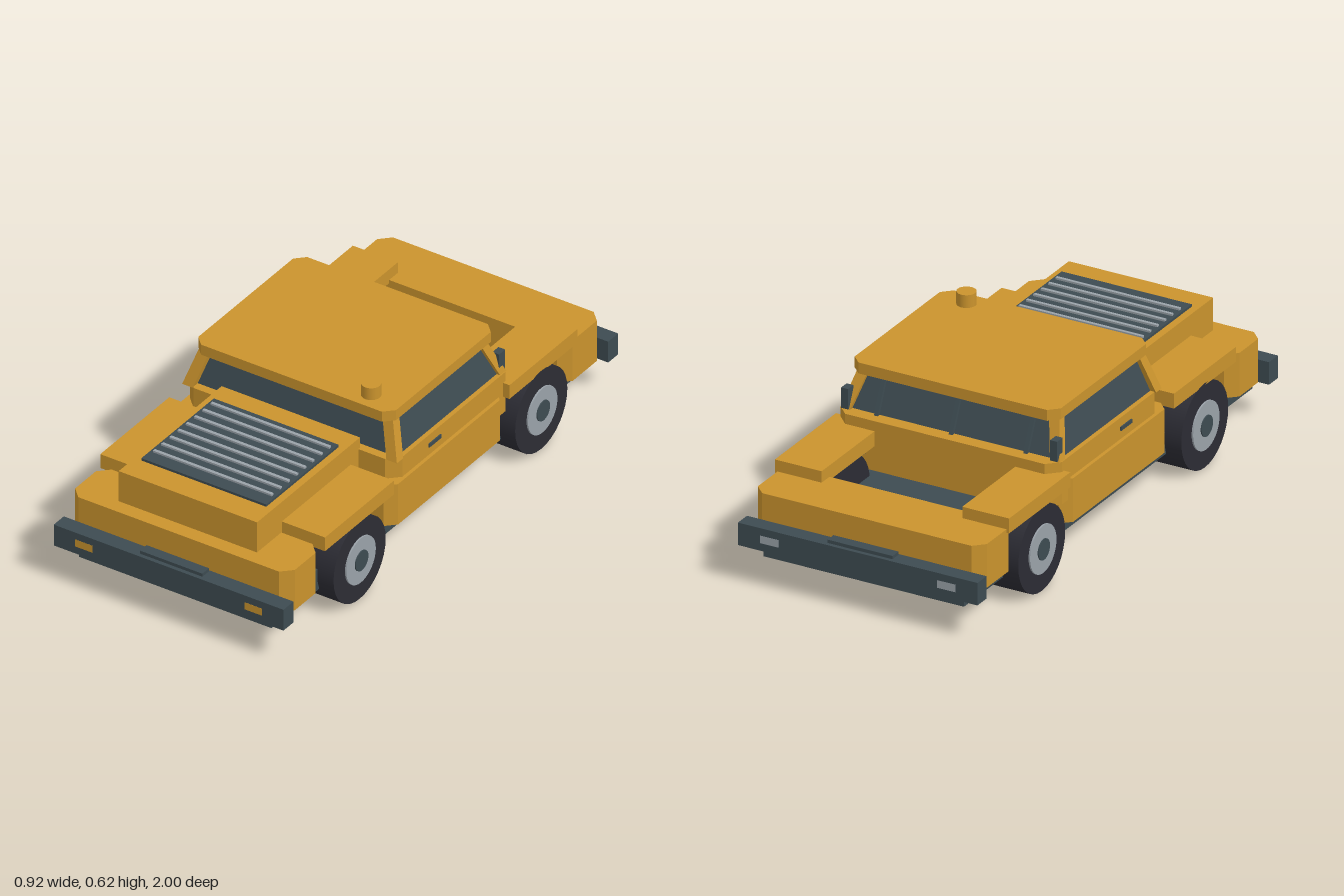
import * as THREE from 'three';

const mat = (name, color, side = THREE.FrontSide) => {
  const m = new THREE.MeshStandardMaterial({ color, side });
  m.name = name;
  return m;
};

export function createModel() {
  const paint = mat('amber paint', 0xca932d);
  const slate = mat('slate trim', 0x3d4b51);
  const rubber = mat('tyre rubber', 0x2c2c34);
  const metal = mat('pale metal', 0x9aa2a9);
  const model = new THREE.Group();
  model.name = 'pickupTruck';

  const add = (name, geometry, material, parent = model) => {
    const mesh = new THREE.Mesh(geometry, material);
    mesh.name = name;
    parent.add(mesh);
    return mesh;
  };

  // Box given by its lower and upper limits on each axis
  const box = (name, [x0, x1], [y0, y1], [z0, z1], material) => {
    const mesh = add(name, new THREE.BoxGeometry(x1 - x0, y1 - y0, z1 - z0), material);
    mesh.position.set((x0 + x1) / 2, (y0 + y1) / 2, (z0 + z1) / 2);
    return mesh;
  };

  // Upright block with its four vertical corners cut off
  const chamferBlock = (name, w, [y0, y1], [z0, z1], c, material) => {
    const d = (z1 - z0) / 2;
    const outline = [[-w + c, -d], [w - c, -d], [w, -d + c], [w, d - c],
      [w - c, d], [-w + c, d], [-w, d - c], [-w, -d + c]];
    const shape = new THREE.Shape(outline.map(([x, y]) => new THREE.Vector2(x, y)));
    const geo = new THREE.ExtrudeGeometry(shape, { depth: y1 - y0, bevelEnabled: false });
    geo.rotateX(-Math.PI / 2);
    geo.translate(0, y0, (z0 + z1) / 2);
    return add(name, geo, material);
  };

  // Slanted box between a lower and an upper rectangle [x0, x1, z0, z1]
  const slanted = (name, y0, low, y1, high, material) => {
    const geo = new THREE.BoxGeometry(1, 1, 1);
    const p = geo.attributes.position;
    for (let i = 0; i < p.count; i++) {
      const r = p.getY(i) > 0 ? high : low;
      p.setXYZ(i, p.getX(i) < 0 ? r[0] : r[1], p.getY(i) > 0 ? y1 : y0, p.getZ(i) < 0 ? r[2] : r[3]);
    }
    geo.computeVertexNormals();
    return add(name, geo, material);
  };

  // Chassis and bumpers
  box('chassis', [-0.385, 0.385], [0.097, 0.18], [-0.96, 0.96], slate);
  for (const s of [1, -1]) {
    const end = s > 0 ? 'front' : 'rear';
    const span = (a, b) => (s > 0 ? [a, b] : [-b, -a]);
    box(end + 'Bumper', [-0.46, 0.46], [0.137, 0.22], span(0.94, 1), slate);
    box(end + 'BumperStep', [-0.125, 0.125], [0.2, 0.232], span(0.945, 0.985), slate);
    for (const x of [-0.34, 0.34]) {
      box(end + 'Lamp', [x - 0.035, x + 0.035], [0.165, 0.193], span(0.995, 1.0005), s > 0 ? paint : metal);
    }
  }

  // Body blocks
  chamferBlock('noseBlock', 0.44, [0.157, 0.318], [0.74, 0.94], 0.038, paint);
  chamferBlock('tailBlock', 0.44, [0.157, 0.318], [-0.94, -0.72], 0.038, paint);
  chamferBlock('doorBody', 0.438, [0.157, 0.318], [-0.36, 0.318], 0.035, paint);
  chamferBlock('cabinWaist', 0.425, [0.24, 0.397], [-0.42, 0.28], 0.042, paint);
  box('engineCover', [-0.277, 0.277], [0.27, 0.438], [0.27, 0.885], paint);

  // Fenders with dark liners, and door handles
  for (const s of [1, -1]) {
    const span = (a, b) => (s > 0 ? [a, b] : [-b, -a]);
    box('frontFender', span(0.27, 0.45), [0.305, 0.36], [0.325, 0.737], paint);
    box('frontFenderLiner', span(0.28, 0.435), [0.295, 0.305], [0.345, 0.717], slate);
    box('rearFender', span(0.27, 0.45), [0.305, 0.36], [-0.772, -0.365], paint);
    box('rearFenderLiner', span(0.28, 0.435), [0.295, 0.305], [-0.75, -0.385], slate);
    box('doorHandle', span(0.42, 0.43), [0.35, 0.364], [0.01, 0.082], slate);
  }

  // Engine grille with slats
  box('grille', [-0.25, 0.25], [0.43, 0.447], [0.357, 0.79], slate);
  for (let i = 0; i < 8; i++) {
    const z = 0.39 + i * 0.049;
    box('grilleSlat', [-0.238, 0.238], [0.44, 0.454], [z - 0.006, z + 0.006], metal);
  }

  // Glasshouse, pillars, rear window bars and corner lamps
  slanted('windows', 0.39, [-0.41, 0.41, -0.372, 0.25], 0.535, [-0.37, 0.37, -0.31, 0.21], slate);
  for (const s of [1, -1]) {
    const rect = (x0, x1, z0, z1) => (s > 0 ? [x0, x1, z0, z1] : [-x1, -x0, z0, z1]);
    slanted('frontPillar', 0.395, rect(0.388, 0.43, 0.24, 0.278), 0.535, rect(0.345, 0.387, 0.2, 0.238), paint);
    slanted('rearPillar', 0.395, rect(0.385, 0.422, -0.388, -0.352), 0.535, rect(0.345, 0.385, -0.325, -0.29), paint);
    const [x0, x1] = rect(0.388, 0.415);
    box('cornerLamp', [x0, x1], [0.4, 0.475], [-0.392, -0.355], slate);
  }
  for (const x of [-0.287, 0, 0.287]) {
    slanted('rearWindowBar', 0.395, [x - 0.007, x + 0.007, -0.384, -0.36], 0.535,
      [x - 0.007, x + 0.007, -0.32, -0.3], slate);
  }

  // Roof and beacon
  chamferBlock('roof', 0.396, [0.53, 0.57], [-0.368, 0.266], 0.034, paint);
  const beacon = add('roofBeacon', new THREE.CylinderGeometry(0.034, 0.034, 0.05, 24), paint);
  beacon.position.set(0.275, 0.592, 0.2);

  // Axles and wheels
  const disc = (name, r, x0, x1, material, parent) => {
    const geo = new THREE.CylinderGeometry(r, r, x1 - x0, 32);
    geo.rotateZ(Math.PI / 2);
    geo.translate((x0 + x1) / 2, 0, 0);
    return add(name, geo, material, parent);
  };
  for (const [end, z] of [['front', 0.53], ['rear', -0.555]]) {
    disc('axle', 0.03, -0.4, 0.4, slate, model).position.set(0, 0.157, z);
    for (const s of [1, -1]) {
      const wheel = new THREE.Group();
      wheel.name = end + 'Wheel';
      wheel.position.set(0, 0.157, z);
      wheel.rotation.y = s > 0 ? 0 : Math.PI;
      disc('tyre', 0.156, 0.3, 0.45, rubber, wheel);
      disc('rim', 0.088, 0.4, 0.456, metal, wheel);
      disc('hub', 0.038, 0.4, 0.46, slate, wheel);
      model.add(wheel);
    }
  }
  return model;
}
